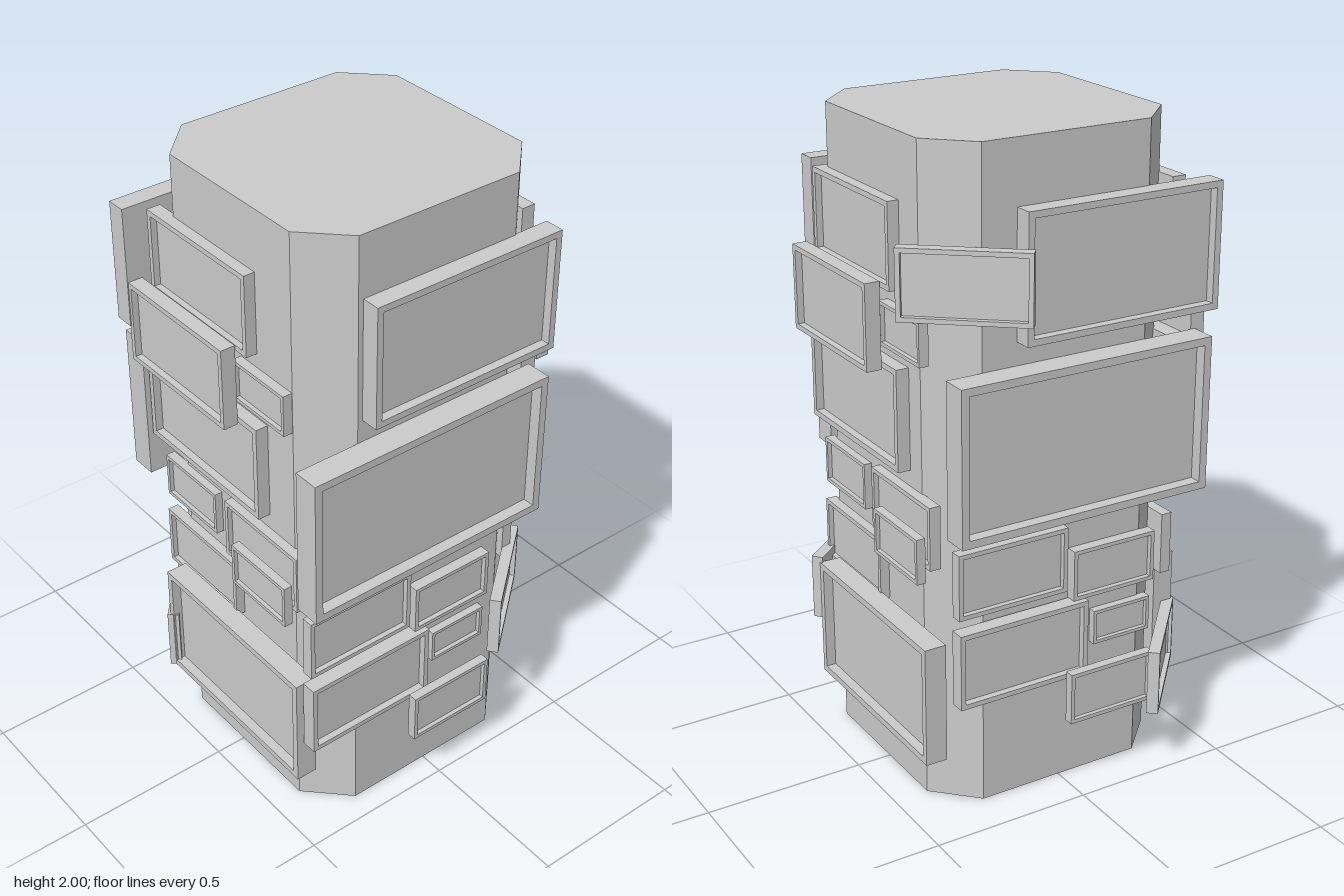
import * as THREE from 'three';

const material = new THREE.MeshStandardMaterial({ color: 0xcccccc, flatShading: true });

function mesh(name, geometry) {
  const m = new THREE.Mesh(geometry, material);
  m.name = name;
  return m;
}

function rectangle(PathType, w, h) {
  const p = new PathType();
  p.moveTo(-w / 2, -h / 2);
  p.lineTo(w / 2, -h / 2);
  p.lineTo(w / 2, h / 2);
  p.lineTo(-w / 2, h / 2);
  p.closePath();
  return p;
}

// Display: raised frame around a recessed panel, facing +z, centred on its origin
function createScreen(name, w, h, depth) {
  const group = new THREE.Group();
  group.name = name;
  const bezel = 0.006 + 0.022 * w;
  const iw = w - 2 * bezel, ih = h - 2 * bezel;
  const outline = rectangle(THREE.Shape, w, h);
  outline.holes.push(rectangle(THREE.Path, iw, ih));
  const frame = new THREE.ExtrudeGeometry(outline, { depth, bevelEnabled: false });
  frame.translate(0, 0, -depth / 2);
  const recess = depth * 0.45;
  const panel = new THREE.BoxGeometry(iw, ih, depth - recess);
  panel.translate(0, 0, -recess / 2);
  group.add(mesh('screenFrame', frame), mesh('screenPanel', panel));
  return group;
}

// Each screen: left, right, bottom, top, inner depth, outer depth
const wideSide = [
  [-0.26, 0.385, 1.43, 1.81, 0.415, 0.478],
  [-0.485, 0.35, 0.885, 1.36, 0.42, 0.503],
  [-0.475, -0.11, 0.645, 0.85, 0.428, 0.465],
  [-0.08, 0.205, 0.6, 0.76, 0.42, 0.455],
  [-0.475, -0.04, 0.36, 0.6, 0.425, 0.473],
  [0.0, 0.2, 0.43, 0.54, 0.415, 0.445],
  [-0.125, 0.165, 0.23, 0.395, 0.488, 0.518],
];
const narrowSide = [
  [-0.325, 0.13, 1.555, 1.81, 0.38, 0.425],
  [-0.37, 0.085, 1.315, 1.575, 0.43, 0.477],
  [-0.365, 0.17, 1.03, 1.34, 0.375, 0.43],
  [0.055, 0.285, 1.38, 1.51, 0.39, 0.42],
  [-0.325, -0.07, 0.82, 0.965, 0.385, 0.415],
  [-0.015, 0.33, 0.785, 0.98, 0.385, 0.42],
  [0.07, 0.325, 0.75, 0.89, 0.432, 0.46],
  [-0.325, 0.025, 0.563, 0.76, 0.385, 0.42],
  [-0.255, 0.405, 0.21, 0.585, 0.415, 0.483],
];

function createSide(name, screens, angle, x, z) {
  const side = new THREE.Group();
  side.name = name;
  screens.forEach(([u0, u1, y0, y1, d0, d1], i) => {
    const screen = createScreen(`screen${i + 1}`, u1 - u0, y1 - y0, d1 - d0);
    screen.position.set((u0 + u1) / 2, (y0 + y1) / 2, (d0 + d1) / 2);
    side.add(screen);
  });
  side.rotation.y = angle;
  side.position.set(x, 0, z);
  return side;
}

export function createModel() {
  const model = new THREE.Group();
  model.name = 'screenColumn';

  // Square column with chamfered corners
  const x0 = -0.4, x1 = 0.39, z0 = -0.36, z1 = 0.42, c = 0.124;
  const section = new THREE.Shape([
    [x0 + c, -z1], [x1 - c, -z1], [x1, -z1 + c], [x1, -z0 - c],
    [x1 - c, -z0], [x0 + c, -z0], [x0, -z0 - c], [x0, -z1 + c],
  ].map(([x, y]) => new THREE.Vector2(x, y)));
  const column = new THREE.ExtrudeGeometry(section, { depth: 2, bevelEnabled: false });
  column.rotateX(-Math.PI / 2);
  model.add(mesh('column', column));

  // Screen clusters, repeated on opposite sides
  model.add(
    createSide('frontScreens', wideSide, 0, 0, 0),
    createSide('backScreens', wideSide, Math.PI, -0.105, 0.06),
    createSide('leftScreens', narrowSide, Math.PI / 2, 0, 0),
    createSide('rightScreens', narrowSide, -Math.PI / 2, -0.01, 0.01),
  );

  // Angled screens across the corners: x, y, z, turn
  const corners = [
    ['frontCornerScreen', 0.344, 0.498, 0.382, 0.69],
    ['lowerBackCornerScreen', -0.367, 0.315, -0.368, -2.309],
    ['upperBackCornerScreen', 0.316, 1.615, -0.357, 2.449],
  ];
  for (const [name, x, y, z, turn] of corners) {
    const screen = createScreen(name, 0.375, 0.208, 0.036);
    screen.position.set(x, y, z);
    screen.rotation.y = turn;
    model.add(screen);
  }
  return model;
}
